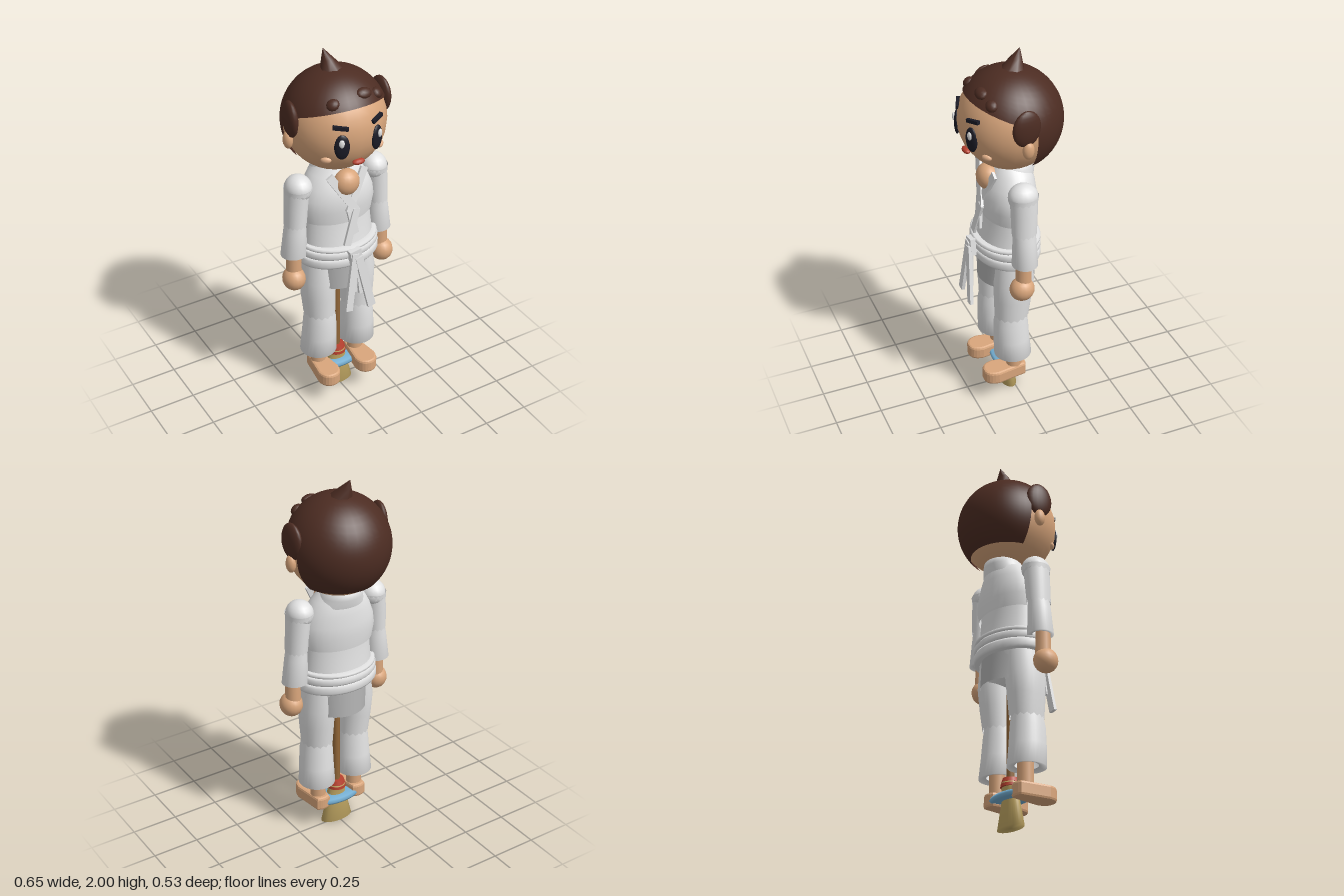
import * as THREE from 'three';
import { ParametricGeometry } from 'three/addons/geometries/ParametricGeometry.js';

const mat = (name, color, both) => {
  const m = new THREE.MeshStandardMaterial({ color });
  m.name = name;
  if (both) m.side = THREE.DoubleSide;
  return m;
};

export function createModel() {
  const skin = mat('skin', 0xd9a67c), hair = mat('hair brown', 0x4c2c22, true);
  const cloth = mat('white cloth', 0xe2e2e2, true), grey = mat('grey cloth', 0xb2b2b2, true);
  const dark = mat('eye black', 0x1b1b26), blush = mat('cheek', 0xeab68e);
  const red = mat('red', 0xb8412f), blue = mat('blue', 0x74aed2);
  const straw = mat('straw', 0xbfa562), wood = mat('wood', 0x916638);
  const root = new THREE.Group();
  root.name = 'figureWithBroom';

  const add = (name, geo, material, x = 0, y = 0, z = 0) => {
    const m = new THREE.Mesh(geo, material);
    m.name = name;
    m.position.set(x, y, z);
    root.add(m);
    return m;
  };
  const ball = (name, material, x, y, z, rx, ry = rx, rz = rx, seg = 18) => {
    const m = add(name, new THREE.SphereGeometry(1, seg, Math.max(8, seg * 0.7 | 0)), material, x, y, z);
    m.scale.set(rx, ry, rz);
    return m;
  };
  // Elliptical rings [x, y, z, rx, rz] joined from top to bottom; wave scallops the last edge
  const loft = (name, material, rings, wave = 0, n = 32) => {
    const pos = [], idx = [];
    rings.forEach(([x, y, z, rx, rz], i) => {
      for (let j = 0; j < n; j++) {
        const a = j / n * Math.PI * 2;
        const dy = wave && i === rings.length - 1 ? wave * (j % 2 ? 1 : -1) : 0;
        pos.push(x + rx * Math.sin(a), y + dy, z + rz * Math.cos(a));
        if (i < rings.length - 1) {
          const p = i * n + j, q = i * n + (j + 1) % n;
          idx.push(p, p + n, q, q, p + n, q + n);
        }
      }
    });
    const g = new THREE.BufferGeometry();
    g.setAttribute('position', new THREE.Float32BufferAttribute(pos, 3));
    g.setIndex(idx);
    g.computeVertexNormals();
    return add(name, g, material);
  };
  // Flat cloth band between two points, facing forward
  const strip = (name, a, b, width, thick = 0.014, material = cloth) => {
    const A = new THREE.Vector3(...a), B = new THREE.Vector3(...b);
    const m = add(name, new THREE.BoxGeometry(width, A.distanceTo(B), thick), material);
    const up = A.clone().sub(B).normalize();
    const side = new THREE.Vector3().crossVectors(up, new THREE.Vector3(0, 0, 1)).normalize();
    const face = new THREE.Vector3().crossVectors(side, up);
    m.quaternion.setFromRotationMatrix(new THREE.Matrix4().makeBasis(side, up, face));
    m.position.copy(A).add(B).multiplyScalar(0.5);
    return m;
  };

  // Head and hair
  const HY = 1.653, R = 0.267;
  ball('head', skin, 0, HY, 0, 0.258, 0.258, 0.258, 24);
  add('hairCap', new ParametricGeometry((u, v, p) => {
    const a = -u * Math.PI * 2, k = 0.38 * Math.cos(a);
    const end = Math.acos(0.247 / Math.hypot(1, k)) - Math.atan(k);
    const t = 0.02 + (end - 0.02) * v;
    p.set(R * Math.sin(t) * Math.sin(a), R * Math.cos(t), R * Math.sin(t) * Math.cos(a));
  }, 32, 12), hair, 0, HY, 0);
  add('hairBack', new ParametricGeometry((u, v, p) => {
    const y = 0.1 - 0.283 * v, r = Math.sqrt(R * R - y * y);
    const a = (u * 2 - 1) * Math.acos(0.04 / r);
    p.set(r * Math.sin(a), y, -r * Math.cos(a));
  }, 24, 12), hair, 0, HY, 0);
  loft('hairSpike', hair, [[-0.025, 2, -0.065, 0.001, 0.001], [-0.015, 1.955, -0.04, 0.03, 0.032],
    [0, 1.9, -0.012, 0.064, 0.066]], 0, 8);
  [[-0.108, 0.168, 0.033, 0.5], [0.06, 0.17, 0.043, -0.1], [0.145, 0.15, 0.033, -0.5]].forEach(([x, z, r, tilt]) => {
    const m = ball('hairTuft', hair, x, HY + Math.sqrt(R * R - x * x - z * z) - 0.005, z, r, 0.022, 0.03, 12);
    m.rotation.set(0.6, 0, tilt);
  });

  // Face, mirrored
  for (const s of [-1, 1]) {
    ball('hairSidePuff', hair, s * 0.255, 1.72, 0.017, 0.03, 0.095, 0.075).rotation.y = s * 0.1;
    ball('ear', skin, s * 0.266, 1.608, 0.012, 0.025, 0.047, 0.03, 14);
    ball('eye', dark, s * 0.097, 1.627, 0.235, 0.038, 0.066, 0.016).rotation.y = s * 0.39;
    ball('eyeHighlight', cloth, s * 0.106, 1.654, 0.249, 0.014, 0.022, 0.008, 12).rotation.y = s * 0.39;
    const brow = add('eyebrow', new THREE.BoxGeometry(0.076, 0.018, 0.02), dark, s * 0.1, 1.727, 0.227);
    brow.rotation.set(0, s * 0.42, s * 0.17);
    ball('cheek', blush, s * 0.153, 1.545, 0.18, 0.027, 0.017, 0.014, 12).rotation.y = s * 0.7;
  }
  ball('mouth', red, 0, 1.517, 0.228, 0.034, 0.015, 0.02, 12);

  // Jacket, open neck and collar
  ball('bareChest', skin, 0, 1.34, 0.115, 0.07, 0.07, 0.06);
  loft('jacketChest', cloth, [[0, 1.41, 0, 0.09, 0.09], [0, 1.37, 0, 0.14, 0.11], [0, 1.31, 0.01, 0.178, 0.13],
    [0, 1.25, 0.013, 0.2, 0.14], [0, 1.19, 0.012, 0.208, 0.142], [0, 1.12, 0.012, 0.195, 0.134]]);
  loft('jacketWaist', cloth, [[0, 1.16, 0.015, 0.18, 0.125], [0, 1.07, 0.018, 0.187, 0.132], [0, 0.97, 0.022, 0.195, 0.15]]);
  loft('collar', cloth, [[0, 1.425, -0.03, 0.085, 0.085], [0, 1.425, -0.03, 0.1, 0.097],
    [0, 1.395, -0.025, 0.11, 0.105], [0, 1.35, -0.01, 0.13, 0.11]]);
  strip('lapel', [-0.1, 1.4, 0.12], [0.03, 1.19, 0.165], 0.042);
  strip('lapel', [0.1, 1.4, 0.12], [-0.01, 1.19, 0.16], 0.042);
  strip('lapelEnd', [0.03, 1.2, 0.165], [-0.035, 1.01, 0.185], 0.04);
  strip('lapelEnd', [-0.005, 1.2, 0.158], [0.022, 1.06, 0.172], 0.036);

  // Belt, knot and hanging tails
  [[0.985, 0.011, 0.215], [0.952, 0.021, 0.222], [0.905, 0.026, 0.226]].forEach(([y, h, r]) => {
    loft('beltBand', cloth, [[0, y + h, 0.024, r - 0.03, 0.14], [0, y + h, 0.024, r - 0.006, 0.168], [0, y + h * 0.5, 0.024, r, 0.176],
      [0, y - h * 0.5, 0.024, r, 0.176], [0, y - h, 0.024, r - 0.006, 0.168], [0, y - h, 0.024, r - 0.03, 0.14]]);
  });
  add('beltKnot', new THREE.BoxGeometry(0.065, 0.09, 0.04), cloth, 0, 0.945, 0.205).rotation.z = 0.15;
  strip('beltTail', [-0.008, 0.97, 0.222], [-0.06, 0.645, 0.246], 0.04, 0.018);
  strip('beltTail', [0.008, 0.95, 0.228], [0.075, 0.635, 0.25], 0.044, 0.018);
  strip('beltLoop', [-0.01, 0.91, 0.218], [-0.022, 0.74, 0.228], 0.035);
  strip('beltLoop', [0.012, 0.91, 0.218], [0.03, 0.72, 0.228], 0.035);

  // Jacket hem and hips
  loft('jacketHem', grey, [[0, 0.9, 0.02, 0.165, 0.14], [0, 0.81, 0.02, 0.162, 0.146], [0, 0.73, 0.02, 0.157, 0.151]]);
  loft('hips', cloth, [[0, 0.92, 0.02, 0.19, 0.14], [0, 0.83, 0.02, 0.19, 0.125], [0, 0.77, 0.02, 0.14, 0.1], [0, 0.74, 0.02, 0.001, 0.001]]);

  // Outline of a foot, narrow at the heel
  const sole = new THREE.Shape();
  sole.moveTo(-0.028, 0.03);
  sole.quadraticCurveTo(0, 0.045, 0.028, 0.03);
  sole.lineTo(0.05, -0.13);
  sole.quadraticCurveTo(0.045, -0.19, 0, -0.19);
  sole.quadraticCurveTo(-0.045, -0.19, -0.05, -0.13);
  sole.closePath();

  for (const s of [-1, 1]) {
    // Arm
    ball('shoulder', cloth, s * 0.218, 1.322, 0.018, 0.07, 0.07, 0.077);
    loft('upperSleeve', cloth, [[s * 0.225, 1.32, 0.018, 0.062, 0.07], [s * 0.233, 1.23, 0.018, 0.06, 0.068],
      [s * 0.24, 1.12, 0.02, 0.056, 0.064]], 0.006);
    loft('shoulderSeam', cloth, [[s * 0.22, 1.33, 0.018, 0.071, 0.078], [s * 0.222, 1.305, 0.018, 0.068, 0.075]], 0.006);
    loft('lowerSleeve', cloth, [[s * 0.238, 1.15, 0.02, 0.05, 0.056], [s * 0.243, 1.08, 0.02, 0.058, 0.06],
      [s * 0.25, 0.94, 0.02, 0.07, 0.066], [s * 0.25, 0.945, 0.02, 0.04, 0.04]]);
    add('forearm', new THREE.CylinderGeometry(0.038, 0.042, 0.18, 14), skin, s * 0.258, 0.89, 0.03);
    ball('hand', skin, s * 0.264, 0.8, 0.04, 0.06, 0.064, 0.065);
    // Leg
    loft('upperTrouser', cloth, [[s * 0.11, 0.88, 0.02, 0.085, 0.1], [s * 0.118, 0.76, 0.025, 0.093, 0.108],
      [s * 0.117, 0.65, 0.03, 0.09, 0.1], [s * 0.113, 0.535, 0.035, 0.083, 0.09]], 0.007);
    loft('lowerTrouser', cloth, [[s * 0.113, 0.57, 0.037, 0.074, 0.08], [s * 0.114, 0.49, 0.04, 0.086, 0.092],
      [s * 0.116, 0.39, 0.037, 0.092, 0.096], [s * 0.118, 0.28, 0.03, 0.098, 0.1], [s * 0.118, 0.29, 0.03, 0.06, 0.06]]);
    add('ankle', new THREE.CylinderGeometry(0.042, 0.042, 0.17, 14), skin, s * 0.116, 0.255, 0.023);
    const foot = add('foot', new THREE.ExtrudeGeometry(sole, { depth: 0.05, bevelEnabled: true,
      bevelThickness: 0.013, bevelSize: 0.012, bevelSegments: 2, curveSegments: 6 }), skin, s * 0.115, 0.135, 0.005);
    foot.rotation.x = -Math.PI / 2;
    foot.scale.y = 0.96;
  }

  // Broom
  add('broomHandle', new THREE.CylinderGeometry(0.02, 0.02, 0.62, 12), wood, 0, 0.54, 0.02);
  loft('broomBristles', straw, [[0, 0.21, 0.02, 0.048, 0.042], [0, 0.14, 0.02, 0.058, 0.036], [0, 0, 0.02, 0.094, 0.046], [0, 0, 0.02, 0.001, 0.001]]);
  loft('broomBinding', blue, [[0, 0.168, 0.02, 0.03, 0.02], [0, 0.167, 0.02, 0.14, 0.072], [0, 0.152, 0.02, 0.15, 0.08],
    [0, 0.137, 0.02, 0.14, 0.072], [0, 0.137, 0.02, 0.03, 0.02]]);
  add('broomCollarLower', new THREE.CylinderGeometry(0.05, 0.052, 0.016, 20), red, 0, 0.213, 0.02);
  add('broomCollarStripe', new THREE.CylinderGeometry(0.046, 0.049, 0.008, 20), straw, 0, 0.225, 0.02);
  add('broomCollarUpper', new THREE.CylinderGeometry(0.04, 0.048, 0.024, 20), red, 0, 0.24, 0.02);
  return root;
}
